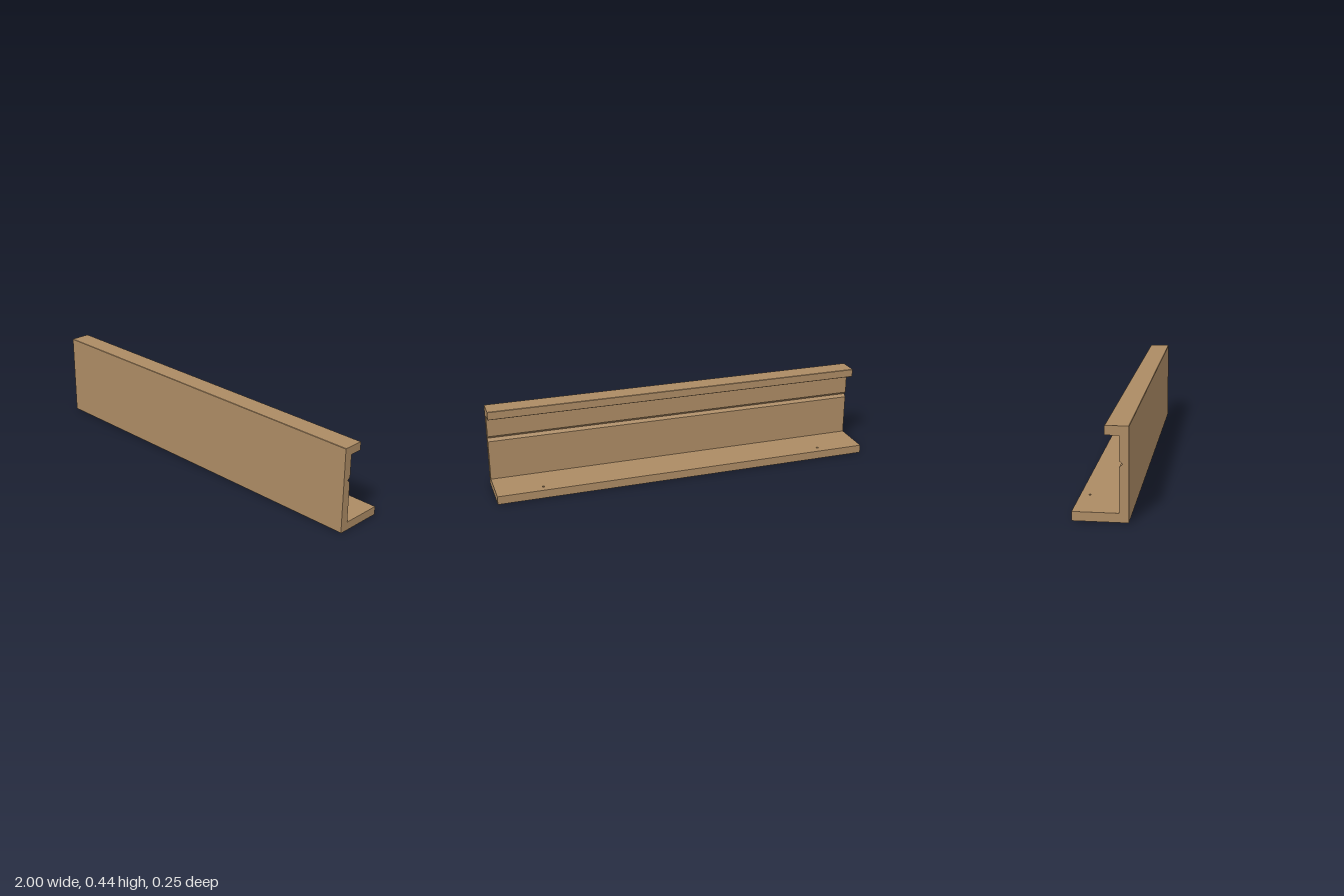
import * as THREE from 'three';

const LENGTH = 2;
const T = 0.043; // board thickness
const FRONT = 0.127, BACK = -0.127, INNER = FRONT - T;
const HEIGHT = 0.437;
const C = 0.002; // eased edges

export function createModel() {
  const group = new THREE.Group();
  group.name = 'channelRail';
  const wood = new THREE.MeshStandardMaterial({ color: 0xac8b64 });
  wood.name = 'tan wood';

  const add = (name, geometry) => {
    const mesh = new THREE.Mesh(geometry, wood);
    mesh.name = name;
    group.add(mesh);
  };

  // Front wall with top lip and V groove: [z, y] section run along x
  const section = [
    [FRONT, C], [FRONT - C, 0], [INNER, 0],
    [INNER, 0.252], [0.099, 0.266], [INNER, 0.28],
    [INNER, HEIGHT - T], [0.02 + C, HEIGHT - T], [0.02, HEIGHT - T + C],
    [0.02, HEIGHT - C], [0.02 + C, HEIGHT], [FRONT - C, HEIGHT], [FRONT, HEIGHT - C],
  ];
  const profile = new THREE.Shape(section.map(([z, y]) => new THREE.Vector2(-z, y)));
  const wall = new THREE.ExtrudeGeometry(profile, { depth: LENGTH, bevelEnabled: false });
  wall.translate(0, 0, -LENGTH / 2).rotateY(Math.PI / 2);
  add('frontWallAndTopLip', wall);

  // Bottom flange with two small screw holes: [x, -z] plan raised along y
  const plan = new THREE.Shape([
    new THREE.Vector2(-LENGTH / 2, -INNER), new THREE.Vector2(LENGTH / 2, -INNER),
    new THREE.Vector2(LENGTH / 2, -BACK), new THREE.Vector2(-LENGTH / 2, -BACK),
  ]);
  for (const side of [-1, 1]) {
    plan.holes.push(new THREE.Path().absarc(side * 0.76, 0.083, 0.006, 0, Math.PI * 2, true));
  }
  const flange = new THREE.ExtrudeGeometry(plan, { depth: T, bevelEnabled: false, curveSegments: 8 });
  flange.rotateX(-Math.PI / 2);
  add('bottomFlange', flange);

  return group;
}
